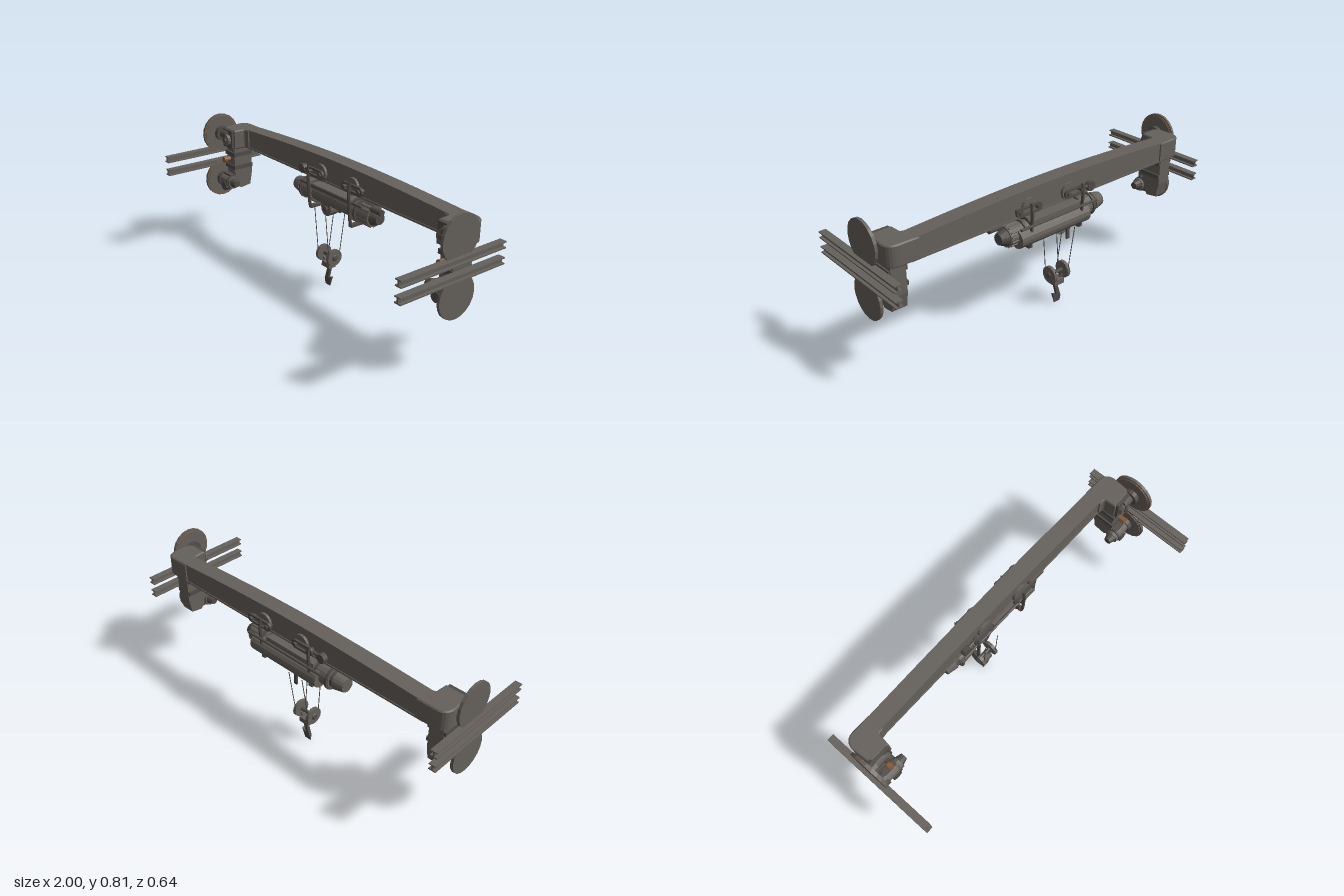
import * as THREE from 'three';

const steel = new THREE.MeshStandardMaterial({ color: 0x65605b, flatShading: true });
steel.name = 'steel grey';
const dark = new THREE.MeshStandardMaterial({ color: 0x504c48, flatShading: true });
dark.name = 'dark steel';
const rust = new THREE.MeshStandardMaterial({ color: 0x8a5f3c, flatShading: true });
rust.name = 'rust brown';

export function createModel() {
  const root = new THREE.Group();
  root.name = 'overheadCrane';

  const add = (name, geo, mat = steel, x = 0, y = 0, z = 0) => {
    const m = new THREE.Mesh(geo, mat);
    m.name = name;
    m.position.set(x, y, z);
    root.add(m);
    return m;
  };
  // box given by its limits
  const box = (name, x0, x1, y0, y1, z0, z1, mat) =>
    add(name, new THREE.BoxGeometry(Math.abs(x1 - x0), y1 - y0, z1 - z0), mat, (x0 + x1) / 2, (y0 + y1) / 2, (z0 + z1) / 2);
  // cylinder between two points
  const rod = (name, a, b, r, mat = steel, sides = 12, r2 = r) => {
    const p = new THREE.Vector3(...a), q = new THREE.Vector3(...b), d = q.clone().sub(p);
    const m = add(name, new THREE.CylinderGeometry(r2, r, d.length(), sides), mat, ...p.clone().add(q).multiplyScalar(0.5).toArray());
    m.quaternion.setFromUnitVectors(new THREE.Vector3(0, 1, 0), d.normalize());
    return m;
  };
  const shape = (pts) => new THREE.Shape(pts.map((p) => new THREE.Vector2(...p)));
  const extrude = (s, depth, bevel = 0) => new THREE.ExtrudeGeometry(s, {
    depth, bevelEnabled: bevel > 0, bevelSize: bevel, bevelThickness: bevel, bevelSegments: 1, curveSegments: 6,
  });

  // cambered main girder with narrow flanges
  const camber = (x) => 0.735 + 0.029 * Math.cos((x / 0.84) * Math.PI / 2);
  const xs = Array.from({ length: 17 }, (_, i) => -0.84 + i * 0.105);
  const strip = (low, high) => shape([...xs.map((x) => [x, low(x)]), ...xs.slice().reverse().map((x) => [x, high(x)])]);
  add('girder', extrude(strip(() => 0.628, (x) => camber(x) - 0.006), 0.08), steel, 0, 0, -0.212);
  add('girderTopFlange', extrude(strip((x) => camber(x) - 0.01, camber), 0.088), steel, 0, 0, -0.216);
  box('girderBottomFlange', -0.84, 0.84, 0.624, 0.634, -0.216, -0.128);

  // I section of a runway rail
  const w = 0.019, h = 0.0175, t = 0.006, c = 0.004;
  const railShape = shape([[-w, -h], [w, -h], [w, -h + t], [c, -h + t], [c, h - t], [w, h - t],
    [w, h], [-w, h], [-w, h - t], [-c, h - t], [-c, -h + t], [-w, -h + t]]);

  for (const s of [-1, 1]) {
    // runway rails
    for (const y of [0.5975, 0.5185]) add('rail', extrude(railShape, 0.64), steel, s * 0.981, y, -0.32);

    // wheels above and below the rails
    for (const [y, r] of [[0.7, 0.114], [0.415, 0.111]]) {
      rod('wheel', [s * 0.965, y, -0.042], [s * 0.98, y, -0.042], r, steel, 20);
      rod('wheelRim', [s * 0.963, y, -0.042], [s * 0.966, y, -0.042], r * 0.93, rust, 20);
      rod('wheelFace', [s * 0.96, y, -0.042], [s * 0.965, y, -0.042], r * 0.89, steel, 20);
      rod('wheelHub', [s * 0.935, y, -0.042], [s * 0.962, y, -0.042], 0.045, dark, 14);
      rod('wheelAxle', [s * 0.88, y, -0.042], [s * 0.94, y, -0.042], 0.026, dark);
    }

    // girder end turning forward, rounded at the back corner
    const end = new THREE.Shape();
    end.moveTo(s * 0.8, 0.214);
    end.lineTo(s * 0.9, 0.214);
    end.quadraticCurveTo(s * 0.95, 0.212, s * 0.952, 0.16);
    end.lineTo(s * 0.945, 0.06);
    end.lineTo(s * 0.835, 0.06);
    end.lineTo(s * 0.832, 0.115);
    end.quadraticCurveTo(s * 0.828, 0.13, s * 0.8, 0.13);
    const endGeo = extrude(end, 0.1, 0.006);
    endGeo.rotateX(-Math.PI / 2);
    add('girderEnd', endGeo, steel, 0, 0.631, 0);

    // front bearing boss
    box('bearingHousing', s * 0.84, s * 0.94, 0.625, 0.735, -0.075, -0.04, dark);
    rod('bearingBoss', [s * 0.885, 0.675, -0.045], [s * 0.885, 0.675, -0.022], 0.036, steel, 12);
    rod('bearingPin', [s * 0.885, 0.675, -0.025], [s * 0.885, 0.675, -0.012], 0.014, dark, 8);

    // column, its back edge tapering towards the foot
    const col = extrude(shape([[-0.06, 0.63], [-0.18, 0.63], [-0.18, 0.46], [-0.165, 0.38], [-0.1, 0.37], [-0.06, 0.42]]), 0.08);
    col.rotateY(-Math.PI / 2);
    col.scale(1, 1, 1);
    add('column', col, steel, s * 0.89 + 0.04, 0, 0);
    for (const y of [0.585, 0.505]) box('columnCollar', s * 0.84, s * 0.94, y - 0.012, y + 0.012, -0.178, -0.052, dark);
    box('columnFoot', s * 0.855, s * 0.935, 0.38, 0.46, -0.09, -0.03, dark);

    // guide roller between the rails
    box('rollerArm', s * 0.86, s * 0.92, 0.542, 0.562, -0.15, -0.06);
    rod('guideRoller', [s * 0.89, 0.555, -0.05], [s * 0.89, 0.555, -0.008], 0.014, rust, 10, 0.018);

    // drive motor
    rod('driveMotor', [s * 0.835, 0.415, -0.04], [s * 0.935, 0.415, -0.04], 0.036, steel, 12);
    rod('driveMotorCap', [s * 0.8, 0.418, -0.04], [s * 0.836, 0.418, -0.04], 0.02, dark, 10, 0.03);
    rod('driveMotorFlange', [s * 0.852, 0.415, -0.04], [s * 0.864, 0.415, -0.04], 0.042, dark, 12);
    rod('driveGear', [s * 0.89, 0.39, -0.05], [s * 0.89, 0.39, 0], 0.028, dark, 10);
  }

  // hoist body along x
  const cy = 0.53, cz = -0.175;
  const hoist = (name, x0, x1, r, mat, r2 = r, y = cy, z = cz) => rod(name, [x0, y, z], [x1, y, z], r, mat, 16, r2);
  hoist('hoistDrum', -0.19, 0.19, 0.05, steel);
  hoist('drumCollar', -0.28, -0.18, 0.056, steel);
  hoist('gearbox', -0.305, -0.27, 0.045, dark);
  hoist('gearboxCap', -0.36, -0.3, 0.038, steel, 0.05);
  hoist('motor', 0.19, 0.285, 0.054, steel);
  hoist('motorCap', 0.285, 0.325, 0.046, dark, 0.03);
  hoist('sideDrum', -0.22, 0.24, 0.05, steel, 0.05, 0.515, -0.21);
  hoist('brake', 0.29, 0.365, 0.017, dark, 0.017, 0.582, -0.15);
  for (const x of [-0.27, -0.19, 0.15, 0.19]) hoist('drumFlange', x - 0.006, x + 0.006, 0.064, dark);
  // motor cooling fins
  for (let i = 0; i < 14; i++) {
    const a = (i / 14) * Math.PI * 2;
    rod('motorFin', [0.205, cy + 0.055 * Math.cos(a), cz + 0.055 * Math.sin(a)],
      [0.28, cy + 0.055 * Math.cos(a), cz + 0.055 * Math.sin(a)], 0.005, dark, 4);
  }
  box('hoistCover', -0.18, 0.15, 0.56, 0.588, -0.225, -0.125);
  for (const z of [-0.115, -0.257]) rod('tieRod', [-0.26, 0.585, z], [0.25, 0.585, z], 0.007, dark, 8);

  // trolley on both sides of the girder
  const slot = (x0, x1, r, hole) => {
    const s = new THREE.Shape();
    const trace = (p, q) => {
      p.absarc(x1, 0, q, -Math.PI / 2, Math.PI / 2, false);
      p.absarc(x0, 0, q, Math.PI / 2, Math.PI * 1.5, false);
      p.closePath();
    };
    trace(s, r);
    const inner = new THREE.Path();
    trace(inner, hole);
    s.holes.push(inner);
    return s;
  };
  for (const side of [-1, 1]) {
    const z = (d) => -0.172 + side * d;
    for (const [x, x0, x1] of [[-0.095, -0.165, -0.075], [0.165, 0.125, 0.24]]) {
      rod('trolleyWheel', [x, 0.672, z(0.04)], [x, 0.672, z(0.054)], 0.047, steel, 16);
      add('trolleyLink', extrude(slot(x0, x1, 0.024, 0.012), 0.012), dark, 0, 0.668, z(0.066) - 0.006);
      for (const px of [x0, x1]) rod('linkPin', [px, 0.668, z(0.04)], [px, 0.668, z(0.08)], 0.011, dark, 8);
    }
    rod('trolleyBuffer', [-0.24, 0.66, z(0.04)], [-0.24, 0.66, z(0.068)], 0.026, dark, 10);
    rod('trolleyBufferArm', [-0.24, 0.66, z(0.055)], [-0.165, 0.668, z(0.055)], 0.01, dark, 8);
    // hanger straps
    for (const x of [-0.17, 0.17]) {
      const path = new THREE.CatmullRomCurve3([[0.7, 0.07], [0.64, 0.076], [0.57, 0.07], [0.5, 0.066], [0.455, 0.058]]
        .map(([y, d]) => new THREE.Vector3(x, y, z(d))));
      add('hangerStrap', new THREE.TubeGeometry(path, 10, 0.009, 6), dark);
    }
  }
  for (const x of [-0.17, 0.17]) box('hangerFoot', x - 0.012, x + 0.012, 0.452, 0.468, -0.235, -0.11, dark);

  // rope sheave under the drum
  rod('upperSheave', [-0.075, 0.468, -0.2], [-0.075, 0.468, -0.145], 0.042, steel, 16);
  rod('sheavePin', [-0.075, 0.468, -0.21], [-0.075, 0.468, -0.135], 0.016, dark, 8);
  box('ropeAnchor', -0.085, -0.065, 0.42, 0.49, -0.246, -0.236, dark);

  // ropes and lower block
  const bx = -0.075, by = 0.187, bz = -0.167;
  for (const s of [-1, 1]) {
    const x = bx + s * 0.046;
    rod('rope', [x, 0.47, -0.105], [x, by, bz + 0.036], 0.0022, dark, 6);
    rod('rope', [x, 0.47, -0.245], [x, by, bz - 0.036], 0.0022, dark, 6);
    rod('blockSheave', [x - 0.009, by, bz], [x + 0.009, by, bz], 0.048, steel, 14);
    rod('blockSheaveCap', [x, by, bz], [x + s * 0.016, by, bz], 0.026, dark, 10, 0.014);
    rod('blockArm', [x, by - 0.02, bz], [bx + s * 0.02, 0.135, bz], 0.011, dark, 8);
  }
  rod('blockAxle', [bx - 0.05, by, bz], [bx + 0.05, by, bz], 0.01, dark, 8);
  box('hookHolder', bx - 0.032, bx + 0.032, 0.118, 0.148, bz - 0.024, bz + 0.024);

  // hook, narrowing to an edge at the bottom
  const hook = extrude(shape([[-0.072, 0.125], [-0.052, 0.125], [-0.072, 0.048], [-0.045, 0.062],
    [-0.06, 0], [-0.1, 0], [-0.1, 0.035]]), 0.016);
  hook.translate(0, 0, -0.008);
  const pos = hook.attributes.position;
  for (let i = 0; i < pos.count; i++) {
    if (pos.getY(i) < 0.02) pos.setZ(i, pos.getZ(i) * 0.15);
  }
  hook.computeVertexNormals();
  add('hook', hook, dark, 0, 0, bz);

  return root;
}
